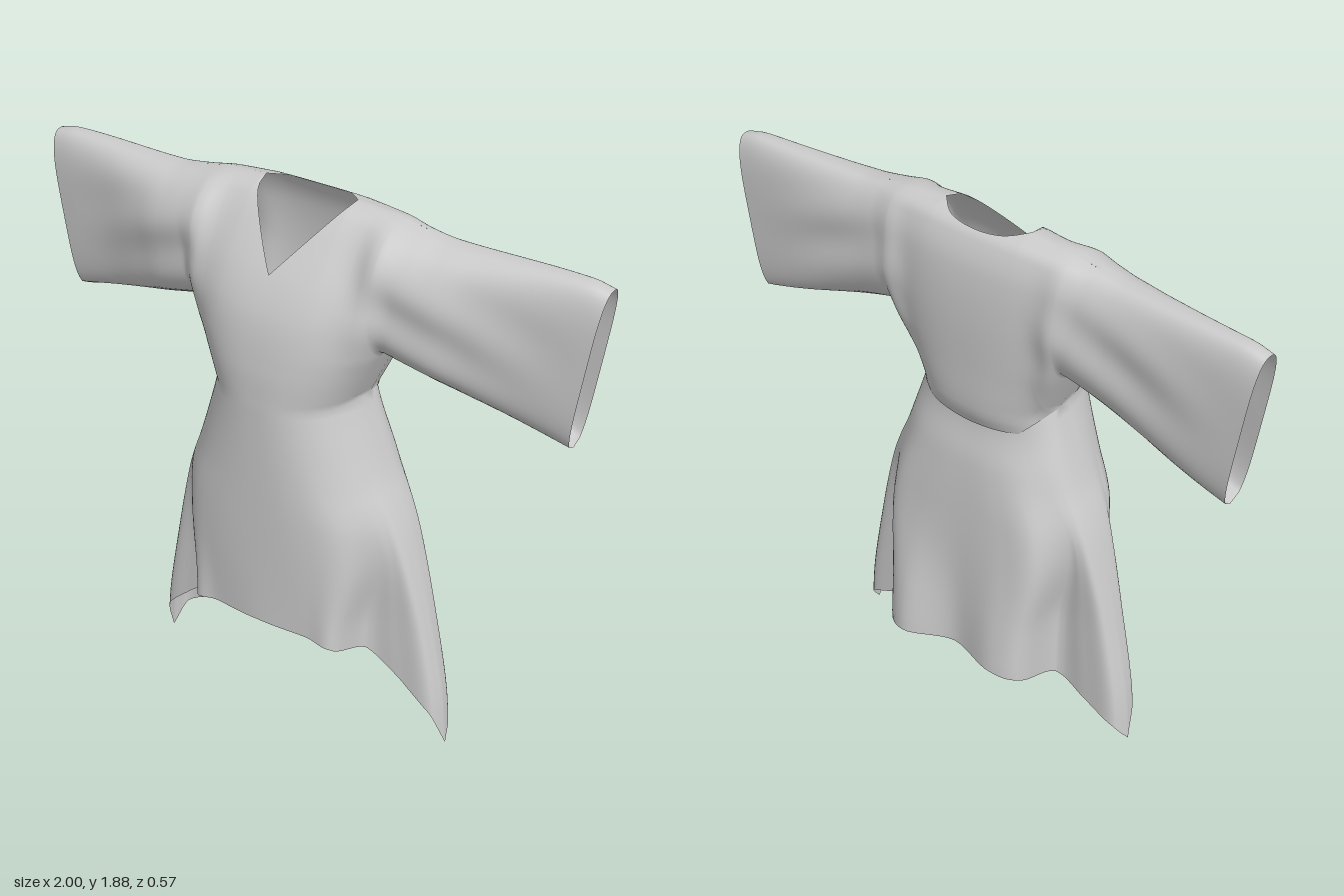
import * as THREE from 'three';
import { mergeGeometries, mergeVertices } from 'three/addons/utils/BufferGeometryUtils.js';

const { lerp, smoothstep } = THREE.MathUtils;
const cloth = new THREE.MeshStandardMaterial({ color: 0xcccccc, side: THREE.DoubleSide });

// Lookup in [[key, value], ...] with rising keys, straight between the points
function along(table, k) {
  if (k <= table[0][0]) return table[0][1];
  for (let i = 1; i < table.length; i++) {
    const [k0, v0] = table[i - 1], [k1, v1] = table[i];
    if (k <= k1) return lerp(v0, v1, (k - k0) / (k1 - k0));
  }
  return table[table.length - 1][1];
}

// The same lookup, rounded at the points
function smoothAlong(table, k) {
  const last = table.length - 1;
  if (k <= table[0][0]) return table[0][1];
  if (k >= table[last][0]) return table[last][1];
  const i = table.findIndex(([key]) => key >= k);
  const slope = (j) => {
    const [a, b] = [table[Math.max(0, j - 1)], table[Math.min(last, j + 1)]];
    return (b[1] - a[1]) / (b[0] - a[0]);
  };
  const [k0, v0] = table[i - 1], [k1, v1] = table[i];
  const h = k1 - k0, t = (k - k0) / h, e = t * t * (3 - 2 * t);
  return lerp(v0, v1, e) + h * t * (1 - t) * ((1 - t) * slope(i - 1) - t * slope(i));
}

// Grid of cloth: columns run across x, rows run downwards
function panel(columns, rows, point, side) {
  const pos = [], idx = [], n = rows + 1;
  columns.forEach((u, i) => {
    for (let j = 0; j <= rows; j++) {
      pos.push(...point(u, j / rows, side));
      if (i && j) {
        const a = (i - 1) * n + j - 1, b = a + 1, d = i * n + j - 1, c = d + 1;
        idx.push(...(side < 0 ? [a, c, b, a, d, c] : [a, b, c, a, c, d]));
      }
    }
  });
  const g = new THREE.BufferGeometry();
  g.setAttribute('position', new THREE.Float32BufferAttribute(pos, 3));
  g.setIndex(idx);
  return g;
}

// Column positions, dense where the body turns, mirrored over x = 0
function mirroredColumns(breaks, counts) {
  const half = [];
  counts.forEach((n, k) => {
    for (let i = 1; i <= n; i++) half.push(lerp(breaks[k], breaks[k + 1], i / n));
  });
  return [...half.map((x) => -x).reverse(), 0, ...half];
}

// ---- Bodice with wide sleeves ----
const NECK = 0.165, TOP = 1.88, WAIST = 1.27, WAIST_X = 0.25;
const shoulderLine = [[0.165, TOP], [0.3, 1.87], [0.4, 1.853], [0.5, 1.84], [0.93, 1.834], [1, 1.82]];
const lowerEdge = {
  1: [[0, WAIST], [WAIST_X, WAIST], [0.33, 1.45], [1, 1.27]],
  '-1': [[0, 1.19], [0.18, 1.2], [WAIST_X, WAIST], [0.33, 1.45], [1, 1.27]],
};
const bodyWidth = [[WAIST, WAIST_X], [1.45, 0.33], [1.6, 0.37], [TOP, 0.42]];
const chest = {
  1: [[WAIST, 0.283], [1.4, 0.277], [1.55, 0.25], [1.66, 0.2], [1.77, 0.12], [1.85, 0.045], [1.873, 0], [TOP, -0.04]],
  '-1': [[1.19, -0.15], [1.25, -0.172], [1.4, -0.178], [1.6, -0.178], [1.75, -0.162], [1.83, -0.133], [1.865, -0.1], [TOP, -0.04]],
};
const sleeveDepth = {
  1: [[0.3, 0.14], [0.5, 0.108], [0.62, 0.075], [0.8, 0.032], [1, 0.003]],
  '-1': [[0.3, -0.15], [0.5, -0.13], [0.8, -0.122], [1, -0.115]],
};

function torsoRound(q) {
  return Math.pow(1 - Math.min(1, q) ** 2.4, 1 / 2.2);
}

function bodicePoint(x, t, f) {
  const ax = Math.abs(x);
  const top = smoothAlong(shoulderLine, ax), bottom = along(lowerEdge[f], ax);
  let start = top;
  if (ax < NECK) {
    start = f > 0 ? lerp(1.68, TOP, ax / NECK) : lerp(1.86, TOP, (ax / NECK) ** 2);
  }
  const y = lerp(start, bottom, lerp(t, 1 - Math.cos(t * Math.PI / 2), 0.85));
  const s = (top - y) / (top - bottom);
  const cuff = smoothstep(ax, 0.33, 1);
  const mid = lerp(-0.04 - 0.02 * cuff, -0.06 * cuff, s);
  // Torso depth, rounded towards the sides
  const profile = smoothAlong(chest[f], y + (TOP - top) * (1 - s));
  const torso = Math.max(0, f * (profile - mid)) * torsoRound(ax / along(bodyWidth, y));
  // Sleeve depth: full near the arm, a flat tube at the cuff
  const power = lerp(s < 0.5 ? 2.3 : 3.6, 4, cuff);
  const lens = Math.pow(Math.max(0, 1 - Math.abs(2 * s - 1) ** power), lerp(0.5, 0.4, cuff));
  const sleeve = Math.max(0, f * (smoothAlong(sleeveDepth[f], ax) - mid)) * lens * smoothstep(ax, 0.12, 0.33);
  // Soft folds fanning out from the underarm
  const fold = 0.008 * Math.sin(24 * (y - 1.4) + 12 * ax + f) * Math.sin(Math.PI * Math.min(1, s)) ** 2
    * smoothstep(ax, 0.2, 0.4) * (1 - smoothstep(ax, 0.55, 1));
  const depth = Math.pow(torso ** 4 + sleeve ** 4, 0.25) + fold;
  return [x - Math.sign(x) * 0.08 * s * cuff, y, mid + f * depth];
}

// ---- Skirt with drawn-out side points ----
const skirtWidth = [[0, 0.587], [0.2, 0.568], [0.4, 0.53], [0.6, 0.483], [0.8, 0.425], [0.9, 0.387], [1, 0.342], [1.2, 0.272], [WAIST, WAIST_X]];
// Where the side fin leaves the body
const creaseX = [[0.2, 0.305], [0.5, 0.315], [0.85, 0.36], [1, 0.325], [WAIST, 0.235]];
const skirtDepth = {
  1: [[0, 0.28], [WAIST, 0.283]],
  '-1': [[0.3, -0.225], [0.5, -0.215], [0.8, -0.2], [1.05, -0.175], [1.18, -0.145], [WAIST, -0.14]],
};
// Hem heights from the middle out to the side point
const hem = {
  1: [[0, 0.445], [0.167, 0.437], [0.333, 0.42], [0.5, 0.355], [0.667, 0.27], [0.833, 0.15], [1, 0.005]],
  '-1': [[0, 0.3], [0.167, 0.29], [0.333, 0.275], [0.5, 0.21], [0.667, 0.15], [0.833, 0.085], [1, 0.005]],
};

function skirtPoint(u, t, f) {
  const a = Math.abs(u);
  // Position along the section: body up to 0.5, fin beyond
  const q = a < 0.88 ? 0.5 * a / 0.88 : lerp(0.5, 1, (a - 0.88) / 0.12);
  const y = lerp(WAIST, along(hem[f], q), t);
  const w = smoothAlong(skirtWidth, y), d = smoothAlong(skirtDepth[f], y), c = smoothAlong(creaseX, y);
  const flare = 1 - smoothstep(y, 0.45, 1.22);
  const low = 1 - smoothstep(y, 0.25, 0.85);
  const billow = (u > 0 ? 0.065 : 0.035) * low;
  // Boxy body with a thin fin on each side
  const section = f > 0
    ? [[0, d], [0.6 * c, d - 0.018], [0.88 * c, d - lerp(0.06, 0.015, low)], [c + 0.015, 0.11], [lerp(c, w, 0.5), 0.09], [lerp(c, w, 0.93), 0.075], [w, 0.02]]
    : [[0, d], [0.6 * c, d - billow], [0.9 * c, d - billow * 0.5 + 0.02], [c + 0.01, -0.05], [lerp(c, w, 0.5), -0.045], [lerp(c, w, 0.93), -0.035], [w, 0.02]];
  const fin = section.map(([x, z]) => new THREE.Vector3(x, 0, z));
  const mirrored = fin.slice(1).reverse().map((p) => new THREE.Vector3(-p.x, 0, p.z));
  const p = new THREE.CatmullRomCurve3([...mirrored, ...fin], false, 'centripetal').getPoint(0.5 + q / 2);
  const x = lerp(w * a, p.x, flare), z = lerp(d * torsoRound(a), p.z, flare);
  return [u < 0 ? -x * lerp(1, 0.955, flare) : x, y, z];
}

export function createModel() {
  const bodiceColumns = mirroredColumns([0, NECK, 0.215, WAIST_X, 0.33, 0.5, 1], [18, 10, 20, 12, 14, 20]);
  // The skirt carries on the bodice columns below the waist
  const skirtColumns = bodiceColumns.filter((x) => Math.abs(x) < WAIST_X + 1e-6).map((x) => THREE.MathUtils.clamp(x / WAIST_X, -1, 1));
  const panels = [1, -1].flatMap((side) => [
    panel(bodiceColumns, 40, bodicePoint, side),
    panel(skirtColumns, 40, skirtPoint, side),
  ]);
  const sewn = mergeVertices(mergeGeometries(panels), 1e-4);
  sewn.computeVertexNormals();

  const dress = new THREE.Mesh(sewn, cloth);
  dress.name = 'dressWithSleeves';
  const model = new THREE.Group();
  model.name = 'tunicDress';
  model.add(dress);
  return model;
}
